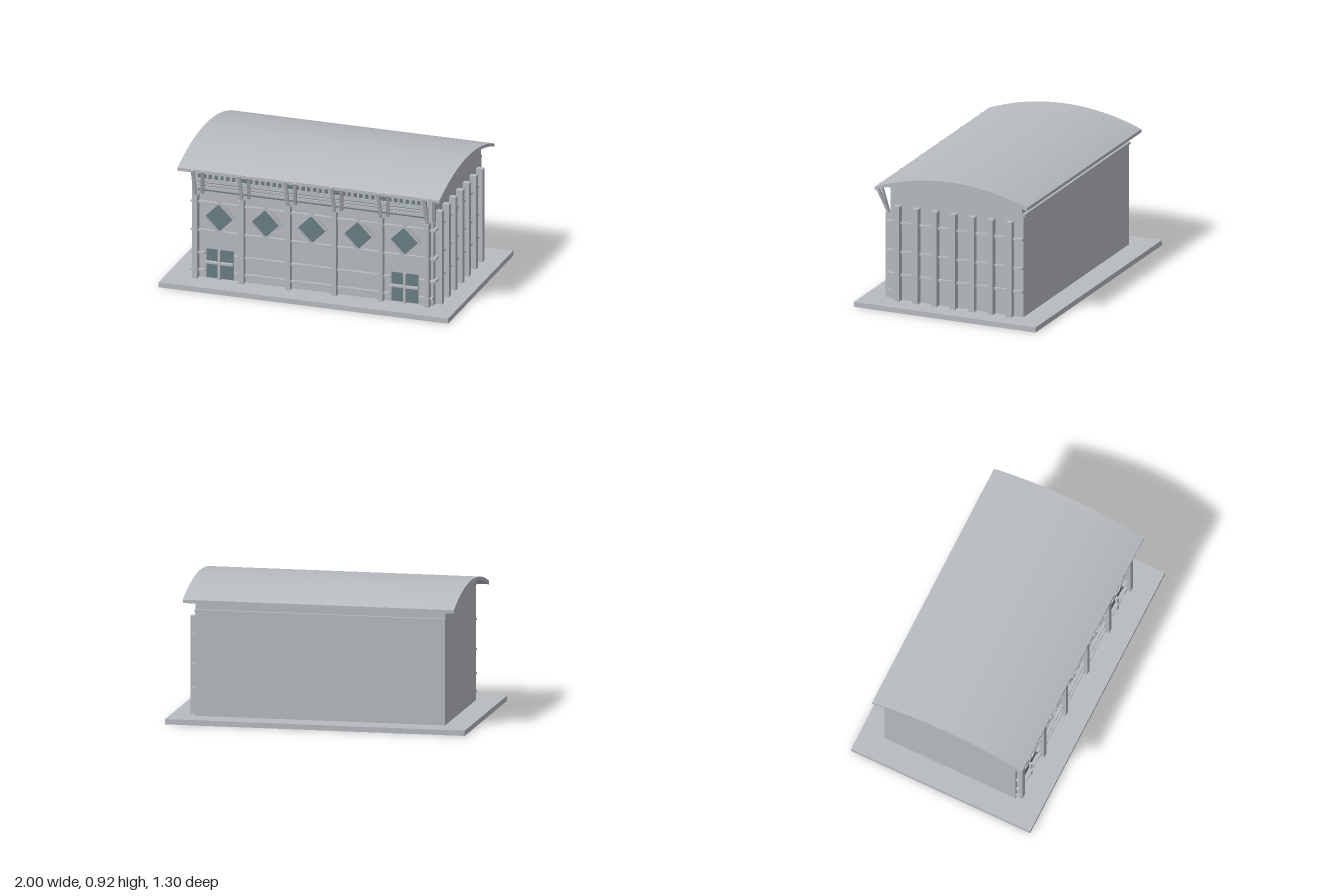
import * as THREE from 'three';
import { toCreasedNormals } from 'three/addons/utils/BufferGeometryUtils.js';

export function createModel() {
  const model = new THREE.Group();
  model.name = 'hall';
  const grey = new THREE.MeshStandardMaterial({ color: 0xb7bbc0 });
  grey.name = 'pale grey';
  const teal = new THREE.MeshStandardMaterial({ color: 0x6a7e83 });
  teal.name = 'window glass';

  const add = (name, geo, mat = grey) => {
    const mesh = new THREE.Mesh(geo, mat);
    mesh.name = name;
    model.add(mesh);
    return mesh;
  };
  // Box given by its min and max on each axis
  const box = (name, x0, x1, y0, y1, z0, z1, mat) =>
    add(name, new THREE.BoxGeometry(x1 - x0, y1 - y0, z1 - z0)
      .translate((x0 + x1) / 2, (y0 + y1) / 2, (z0 + z1) / 2), mat);
  // Slanted bar between two points
  const strut = (name, a, b, w, d) => {
    const p = new THREE.Vector3(...a), q = new THREE.Vector3(...b);
    const dir = q.clone().sub(p);
    const mesh = add(name, new THREE.BoxGeometry(w, dir.length(), d));
    mesh.position.copy(p).add(q).multiplyScalar(0.5);
    mesh.quaternion.setFromUnitVectors(new THREE.Vector3(0, 1, 0), dir.normalize());
  };
  // Side profile of [z, y] points swept along x
  const sweep = (points, width) => {
    const shape = new THREE.Shape(points.map(p => new THREE.Vector2(...p)));
    const geo = new THREE.ExtrudeGeometry(shape, { depth: width, bevelEnabled: false });
    return toCreasedNormals(geo.translate(0, 0, -width / 2).rotateY(-Math.PI / 2), 0.4);
  };
  const R = 1.49, N = 32;
  const arc = (top, z0, z1) => Array.from({ length: N + 1 }, (_, i) => {
    const z = z0 + (z1 - z0) * i / N;
    return [z, top - R + Math.sqrt(R * R - z * z)];
  });

  // Ground slab, body and barrel roof
  box('baseSlab', -1, 1, 0, 0.035, -0.65, 0.65);
  add('body', sweep([[-0.48, 0.725], [-0.49, 0.725], [-0.49, 0.035], [0.465, 0.035], [0.465, 0.795],
    [0.48, 0.795], ...arc(0.894, 0.48, -0.48)], 1.67));
  add('roof', sweep([...arc(0.893, -0.545, 0.545), ...arc(0.915, 0.545, -0.545)], 1.81));
  box('rearLedge', -0.835, 0.835, 0.725, 0.741, -0.5, -0.478);

  // Side pilasters and rails
  for (let i = -3; i <= 3; i++) {
    const z = i * 0.134;
    box('sidePilaster', 0.83, 0.88, 0.035, 0.685, z - 0.02, z + 0.02);
  }
  for (const y of [0.21, 0.369, 0.567]) box('sideRail', 0.83, 0.856, y - 0.007, y + 0.007, -0.489, 0.489);

  // Front rails, the lower two interrupted by the doors
  for (const y of [0.369, 0.567]) box('frontRail', -0.835, 0.856, y - 0.006, y + 0.006, 0.46, 0.488);
  for (const y of [0.09, 0.21])
    for (const [a, b] of [[-0.835, -0.74], [-0.54, 0.54], [0.74, 0.834]])
      box('frontRail', a, b, y - 0.006, y + 0.006, 0.46, 0.488);

  // Front columns with leaning tops and eave braces
  for (let i = 0; i < 6; i++) {
    const x = -0.8 + i * 0.32;
    box('frontColumn', x - 0.017, x + 0.017, 0.035, 0.617, 0.46, 0.507);
    strut('columnTop', [x, 0.6, 0.487], [x, 0.808, 0.55], 0.022, 0.014);
    strut('eaveBrace', [x + 0.042, 0.628, 0.473], [x + 0.068, 0.806, 0.547], 0.02, 0.016);
  }

  // Clerestory glazing with slats and small uprights
  box('clerestoryGlass', -0.79, 0.79, 0.642, 0.792, 0.462, 0.469, teal);
  for (const [y, h] of [[0.717, 0.024], [0.69, 0.013], [0.666, 0.02]])
    box('slat', -0.8, 0.8, y - h / 2, y + h / 2, 0.46, 0.48);
  for (let i = 0; i < 5; i++)
    for (let k = 1; k < 8; k++) {
      const x = -0.8 + i * 0.32 + k * 0.04;
      box('upright', x - 0.008, x + 0.008, 0.725, 0.795, 0.46, 0.482);
    }

  // Diamond windows
  const diamond = r => [[0, -r], [r, 0], [0, r], [-r, 0]].map(p => new THREE.Vector2(...p));
  const frame = new THREE.Shape(diamond(0.116));
  frame.holes.push(new THREE.Path(diamond(0.098)));
  const frameGeo = new THREE.ExtrudeGeometry(frame, { depth: 0.03, bevelEnabled: false });
  const paneGeo = new THREE.ExtrudeGeometry(new THREE.Shape(diamond(0.1)), { depth: 0.007, bevelEnabled: false });
  for (let i = -2; i <= 2; i++) {
    add('diamondFrame', frameGeo).position.set(i * 0.32, 0.47, 0.462);
    add('diamondPane', paneGeo, teal).position.set(i * 0.32, 0.47, 0.462);
  }

  // Glazed doors with cross bars
  for (const x of [-0.64, 0.64]) {
    for (const s of [-1, 1]) {
      const c = x + s * 0.051;
      box('doorLeaf', c - 0.042, c + 0.042, 0.04, 0.24, 0.462, 0.469, teal);
    }
    box('doorPost', x - 0.009, x + 0.009, 0.035, 0.242, 0.46, 0.488);
    box('doorBar', x - 0.097, x + 0.097, 0.145, 0.158, 0.46, 0.495);
  }
  return model;
}
